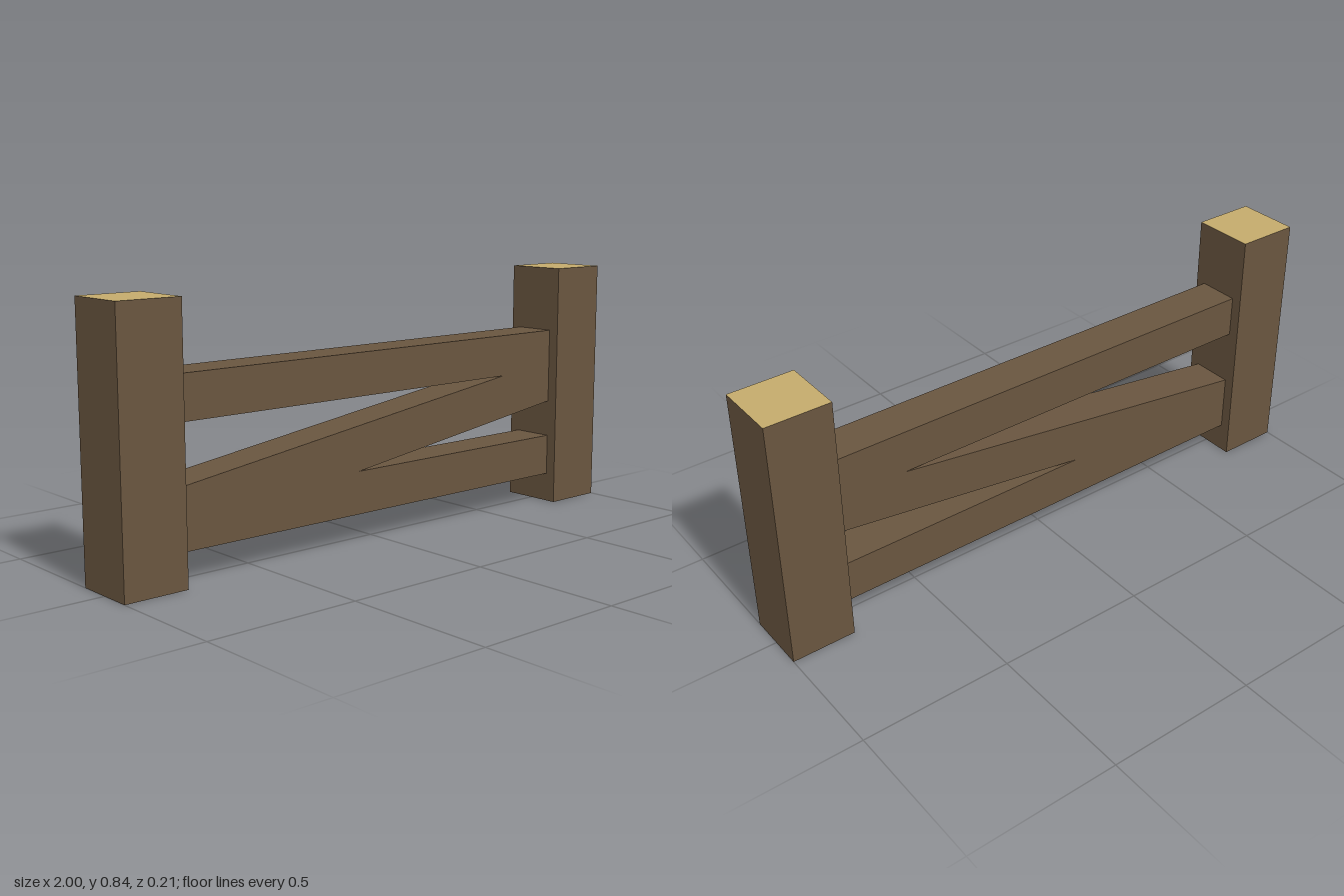
import * as THREE from 'three';

export function createModel() {
  const group = new THREE.Group();
  const bark = new THREE.MeshStandardMaterial({ name: 'brown wood', color: 0x69553f });
  const cut = new THREE.MeshStandardMaterial({ name: 'pale cut wood', color: 0xc4aa6c });

  const addBox = (name, size, position, material) => {
    const mesh = new THREE.Mesh(new THREE.BoxGeometry(...size), material);
    mesh.name = name;
    mesh.position.set(...position);
    group.add(mesh);
    return mesh;
  };

  // Square posts with a pale sawn top (box faces: +x, -x, +y, -y, +z, -z)
  const postMaterials = [bark, bark, cut, bark, bark, bark];
  for (const [name, side] of [['leftPost', 1], ['rightPost', -1]]) {
    addBox(name, [0.212, 0.84, 0.212], [side * 0.894, 0.42, 0], postMaterials);
  }

  // Horizontal rails, let slightly into the posts
  addBox('lowerRail', [1.6, 0.14, 0.14], [0, 0.17, 0], bark);
  addBox('upperRail', [1.6, 0.14, 0.14], [0, 0.55, 0], bark);

  // Diagonal brace rising toward the left post
  const brace = addBox('diagonalBrace', [1.64, 0.146, 0.14], [0, 0.329, 0], bark);
  brace.rotation.z = Math.atan(0.14);

  return group;
}
